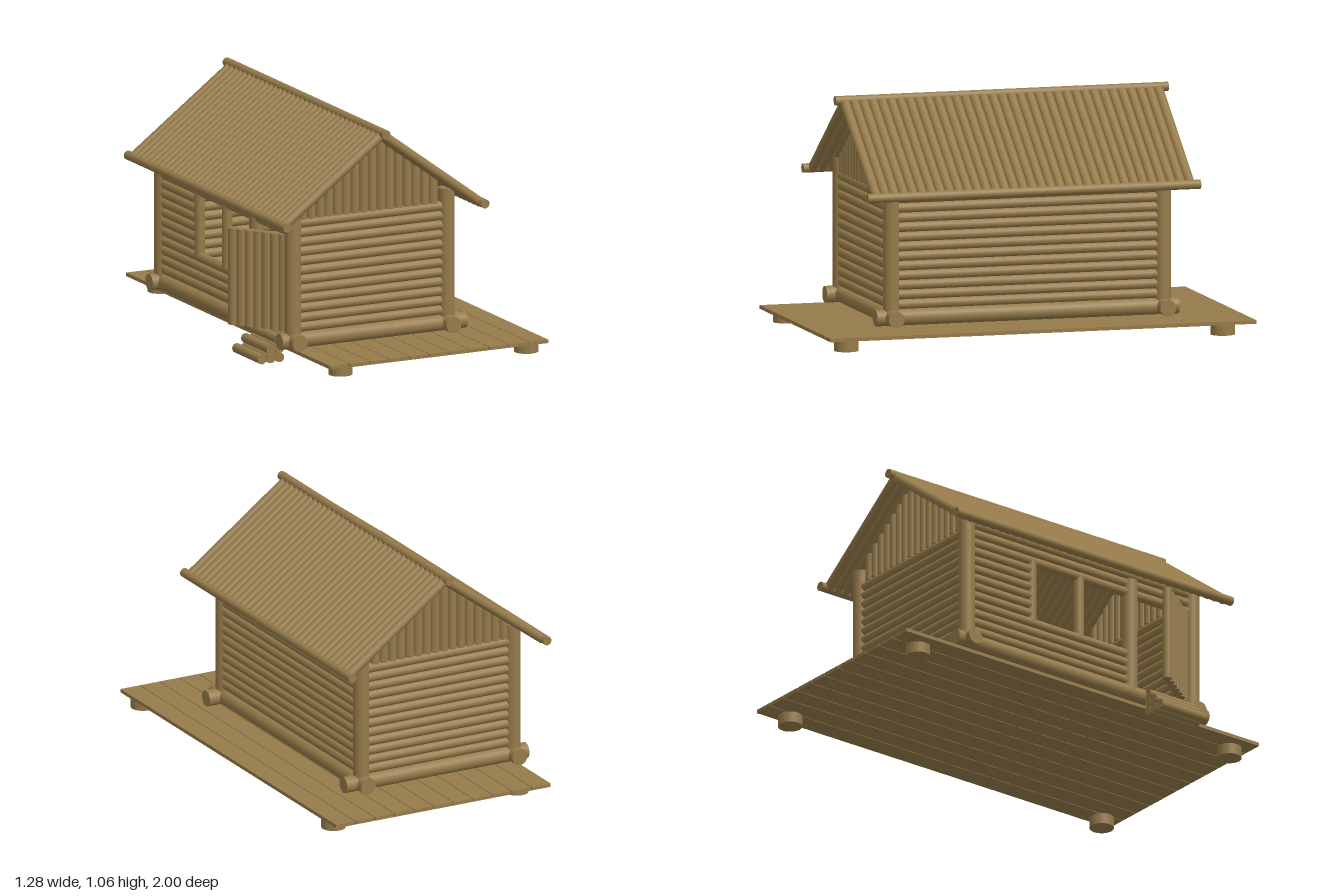
import * as THREE from 'three';

export function createModel() {
  const model = new THREE.Group();
  model.name = 'logCabin';
  const wood = new THREE.MeshStandardMaterial({ color: 0x967b4a });
  wood.name = 'brown wood';

  const V = (x, y, z) => new THREE.Vector3(x, y, z);
  const UP = V(0, 1, 0);
  const part = (name) => {
    const g = new THREE.Group();
    g.name = name;
    model.add(g);
    return g;
  };
  // Round log between two points
  const log = (parent, name, a, b, r, sides = 16) => {
    const d = b.clone().sub(a);
    const m = new THREE.Mesh(new THREE.CylinderGeometry(r, r, d.length(), sides), wood);
    m.name = name;
    m.position.copy(a).add(b).multiplyScalar(0.5);
    m.quaternion.setFromUnitVectors(UP, d.normalize());
    parent.add(m);
    return m;
  };

  const LEFT = 0.32, RIGHT = -0.458, FRONT = 0.62, BACK = -0.655;
  const MID = -0.06, PITCH = 0.0437, R = 0.0225, WALL_Y = 0.14;
  const roofY = (x) => 1.035 - 0.75 * Math.abs(x - MID);

  // Plank deck on four short piers
  const deck = part('deck');
  for (let i = 0; i < 11; i++) {
    const m = new THREE.Mesh(new THREE.BoxGeometry(0.097, 0.016, 2), wood);
    m.name = 'deckPlank';
    m.position.set(-0.415 + i * 0.1005, 0.058, 0);
    deck.add(m);
  }
  for (const x of [-0.365, 0.575])
    for (const z of [0.908, -0.86]) log(deck, 'pier', V(x, 0, z), V(x, 0.05, z), 0.055, 24);

  // Sill logs and corner posts
  const frame = part('frame');
  for (const z of [FRONT, BACK]) {
    log(frame, 'crossSill', V(-0.525, 0.103, z), V(0.41, 0.103, z), 0.037, 24);
    for (const x of [LEFT, RIGHT]) log(frame, 'cornerPost', V(x, 0.1, z), V(x, 0.725, z), 0.037, 24);
  }
  for (const x of [LEFT, RIGHT]) log(frame, 'sideSill', V(x, 0.103, -0.725), V(x, 0.103, 0.695), 0.038, 24);

  // End walls with upright gable logs cut to the roof slope
  for (const z of [FRONT, BACK]) {
    const wall = part(z > 0 ? 'frontWall' : 'backWall');
    for (let i = 0; i < 12; i++) {
      const y = WALL_Y + (i + 0.5) * PITCH;
      log(wall, 'wallLog', V(RIGHT, y, z), V(LEFT, y, z), R);
    }
    for (let k = -5; k <= 10; k++) {
      const x = -0.19 + k * 0.044, base = 0.66;
      const m = log(wall, 'gableLog', V(x, base, z), V(x, base + 0.1, z), 0.022);
      const p = m.geometry.attributes.position;
      for (let i = 0; i < p.count; i++)
        if (p.getY(i) > 0) p.setY(i, roofY(x + p.getX(i)) - base - 0.05);
    }
  }

  // Side walls: solid on the left, window and doorway on the right
  const leftWall = part('leftWall');
  const rightWall = part('rightWall');
  for (let i = 0; i < 13; i++) {
    const y = WALL_Y + (i + 0.5) * PITCH;
    log(leftWall, 'wallLog', V(LEFT, y, BACK), V(LEFT, y, FRONT), R);
    const end = i < 4 ? 0.27 : i < 10 ? -0.29 : FRONT;
    log(rightWall, 'wallLog', V(RIGHT, y, BACK), V(RIGHT, y, end), R);
  }
  for (const z of [-0.29, -0.02]) log(rightWall, 'windowPost', V(RIGHT, 0.3, z), V(RIGHT, 0.6, z), 0.024);
  log(rightWall, 'doorPost', V(RIGHT, 0.1, 0.27), V(RIGHT, 0.66, 0.27), 0.036, 24);

  // Door standing ajar, hinged at the front corner post
  const door = part('door');
  for (let i = 0; i < 7; i++) {
    const t = i / 6;
    const x = -0.475 - 0.148 * t, z = 0.56 - 0.205 * t;
    log(door, 'doorSlat', V(x, 0.14, z), V(x, 0.585, z), 0.0215);
  }

  // Stacked log steps
  const steps = part('steps');
  for (const [x, y] of [[-0.595, 0.022], [-0.55, 0.022], [-0.506, 0.022], [-0.55, 0.064], [-0.506, 0.064], [-0.506, 0.105]])
    log(steps, 'stepLog', V(x, y, 0.335), V(x, y, 0.587), 0.022);

  // Roof slopes of closely laid logs, with ridge and eave logs
  const roof = part('roof');
  for (const s of [-1, 1]) {
    for (let i = 0; i < 35; i++) {
      const z = -0.75 + i * 0.0433;
      log(roof, 'roofLog', V(MID + s * 0.5, 0.662, z), V(MID, 1.032, z), 0.022);
    }
    log(roof, 'eaveLog', V(MID + s * 0.5, 0.665, -0.795), V(MID + s * 0.5, 0.665, 0.768), 0.021, 20);
  }
  log(roof, 'ridgeLog', V(MID, 1.04, -0.795), V(MID, 1.04, 0.768), 0.021, 20);

  return model;
}
